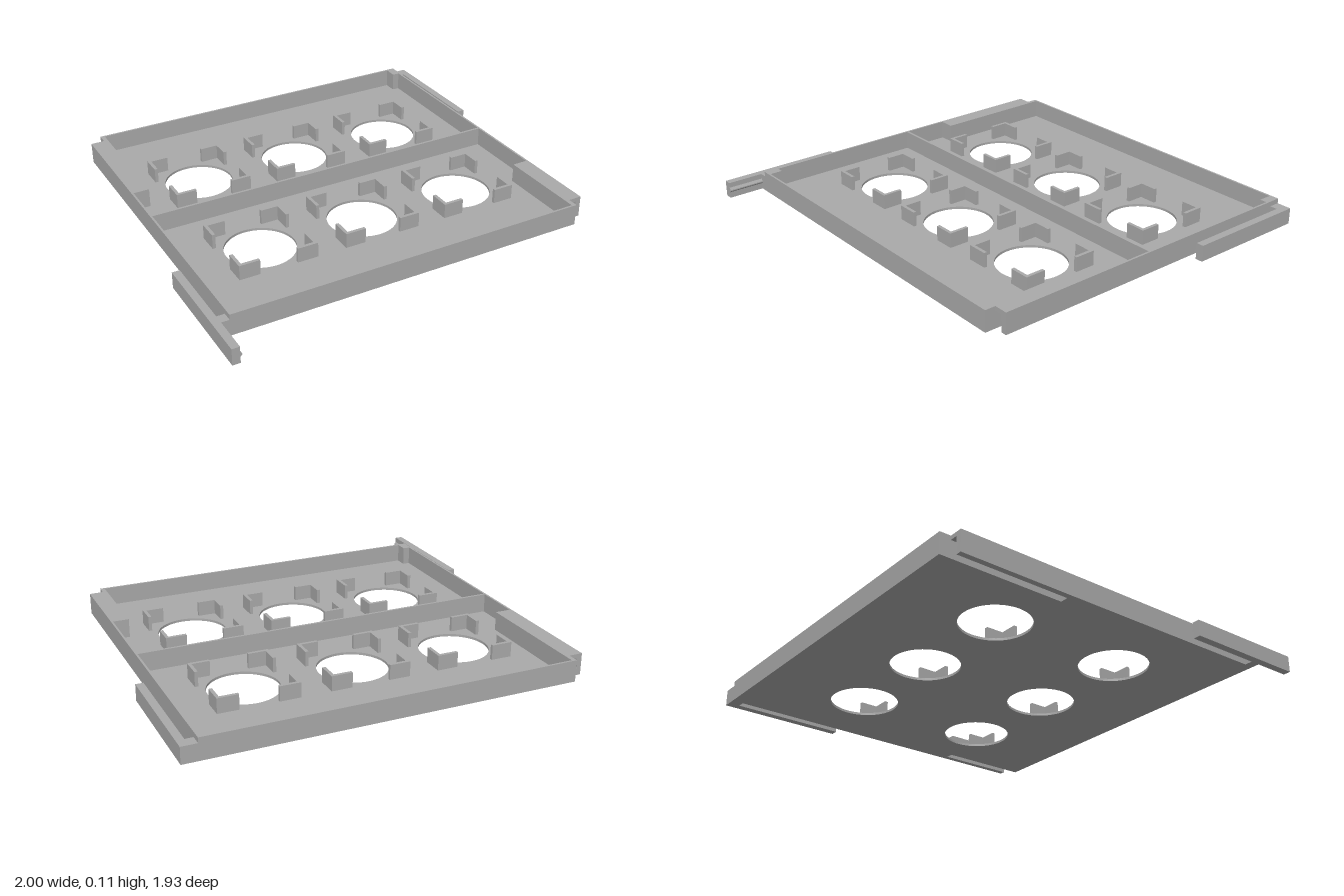
import * as THREE from 'three';

const H = 0.105;      // wall height
const FLOOR = 0.012;  // floor thickness
const BACK = -0.967, FRONT = 0.783, SIDE = 0.925, WALL = 0.01;

export function createModel() {
  const grey = new THREE.MeshStandardMaterial({ color: 0xaaaaaa });
  grey.name = 'grey plastic';
  const model = new THREE.Group();
  model.name = 'trayModule';

  function add(name, geometry, parent = model) {
    const mesh = new THREE.Mesh(geometry, grey);
    mesh.name = name;
    parent.add(mesh);
    return mesh;
  }
  // box given by its limits; x limits may come in either order
  function box(name, x0, x1, y0, y1, z0, z1, parent) {
    const g = new THREE.BoxGeometry(Math.abs(x1 - x0), y1 - y0, z1 - z0);
    g.translate((x0 + x1) / 2, (y0 + y1) / 2, (z0 + z1) / 2);
    return add(name, g, parent);
  }
  // cross-section in x and y, drawn out along z
  function rail(name, side, points, z0, z1) {
    const shape = new THREE.Shape(points.map(([x, y]) => new THREE.Vector2(side * x, y)));
    const g = new THREE.ExtrudeGeometry(shape, { depth: z1 - z0, bevelEnabled: false });
    g.translate(0, 0, z0);
    return add(name, g);
  }

  // floor with six round holes; the two channel corners are left out
  const floor = new THREE.Shape([
    [-0.837, BACK], [SIDE, BACK], [SIDE, 0.32], [0.837, 0.32],
    [0.837, FRONT], [-SIDE, FRONT], [-SIDE, -0.33], [-0.837, -0.33],
  ].map(([x, z]) => new THREE.Vector2(x, z)));
  const cells = [];
  for (const x of [-0.535, 0, 0.535]) for (const z of [-0.44, 0.26]) cells.push([x, z]);
  for (const [x, z] of cells) {
    floor.holes.push(new THREE.Path().absarc(x, z, 0.168, 0, Math.PI * 2, true));
  }
  const floorGeometry = new THREE.ExtrudeGeometry(floor, {
    depth: FLOOR, bevelEnabled: false, curveSegments: 32,
  });
  floorGeometry.rotateX(Math.PI / 2).translate(0, FLOOR, 0);
  add('floor', floorGeometry);

  // L-shaped corner brackets around each hole
  for (const [x, z] of cells) {
    const holder = new THREE.Group();
    holder.name = 'cellHolder';
    holder.position.set(x, 0, z);
    model.add(holder);
    for (const sx of [-1, 1]) for (const sz of [-1, 1]) {
      const o = 0.195, i = 0.179, e = 0.093;
      const shape = new THREE.Shape([[o, o], [e, o], [e, i], [i, i], [i, e], [o, e]]
        .map(([a, b]) => new THREE.Vector2(sx * a, sz * b)));
      const g = new THREE.ExtrudeGeometry(shape, { depth: 0.085 - FLOOR, bevelEnabled: false });
      g.rotateX(Math.PI / 2).translate(0, 0.085, 0);
      add('cornerBracket', g, holder);
    }
  }

  // thin outer walls and the divider
  box('backWall', -0.837, 0.88, FLOOR, H, BACK, BACK + WALL);
  box('frontWall', -0.88, 0.837, FLOOR, H, FRONT - WALL, FRONT);
  box('rightWall', -SIDE, -SIDE + WALL, FLOOR, H, -0.33, 0.71);
  box('leftWall', SIDE - WALL, SIDE, FLOOR, H, -0.89, 0.32);
  box('divider', -SIDE + WALL, SIDE - WALL, FLOOR, H, -0.1, -0.088);

  // channels, open below and at one end, with a groove in the outer side
  const channel = [
    [0.837, 0], [0.837, H], [SIDE, H], [SIDE, 0], [0.897, 0], [0.897, 0.03],
    [0.905, 0.038], [0.905, 0.043], [0.897, 0.055], [0.897, 0.085], [0.858, 0.085], [0.858, 0],
  ];
  rail('leftChannel', 1, channel, 0.33, 0.73);
  box('leftChannelEnd', 0.837, SIDE, 0, H, 0.32, 0.33);
  box('leftChannelLip', 0.837, 0.858, 0, H, 0.73, FRONT);
  rail('rightChannel', -1, channel, -0.912, -0.34);
  box('rightChannelEnd', -0.837, -SIDE, 0, H, -0.34, -0.33);
  box('rightChannelLip', -0.837, -0.858, 0, H, BACK, -0.912);

  // connecting arms with a ridge on the inner side
  const arm = [
    [1, 0], [1, 0.08], [0.963, 0.08], [0.963, 0.055],
    [0.955, 0.043], [0.955, 0.038], [0.963, 0.03], [0.963, 0],
  ];
  rail('leftArm', 1, arm, BACK, -0.35);
  rail('rightArm', -1, arm, 0.35, 0.963);
  box('leftArmBridge', SIDE, 0.963, 0, 0.08, BACK, -0.912);
  box('rightArmBridge', -SIDE, -0.963, 0, 0.08, 0.735, FRONT);

  // solid corners behind the arm bridges
  box('leftArmCorner', 0.88, SIDE, FLOOR, H, BACK, -0.89);
  box('rightArmCorner', -0.88, -SIDE, FLOOR, H, 0.71, FRONT);

  return model;
}
